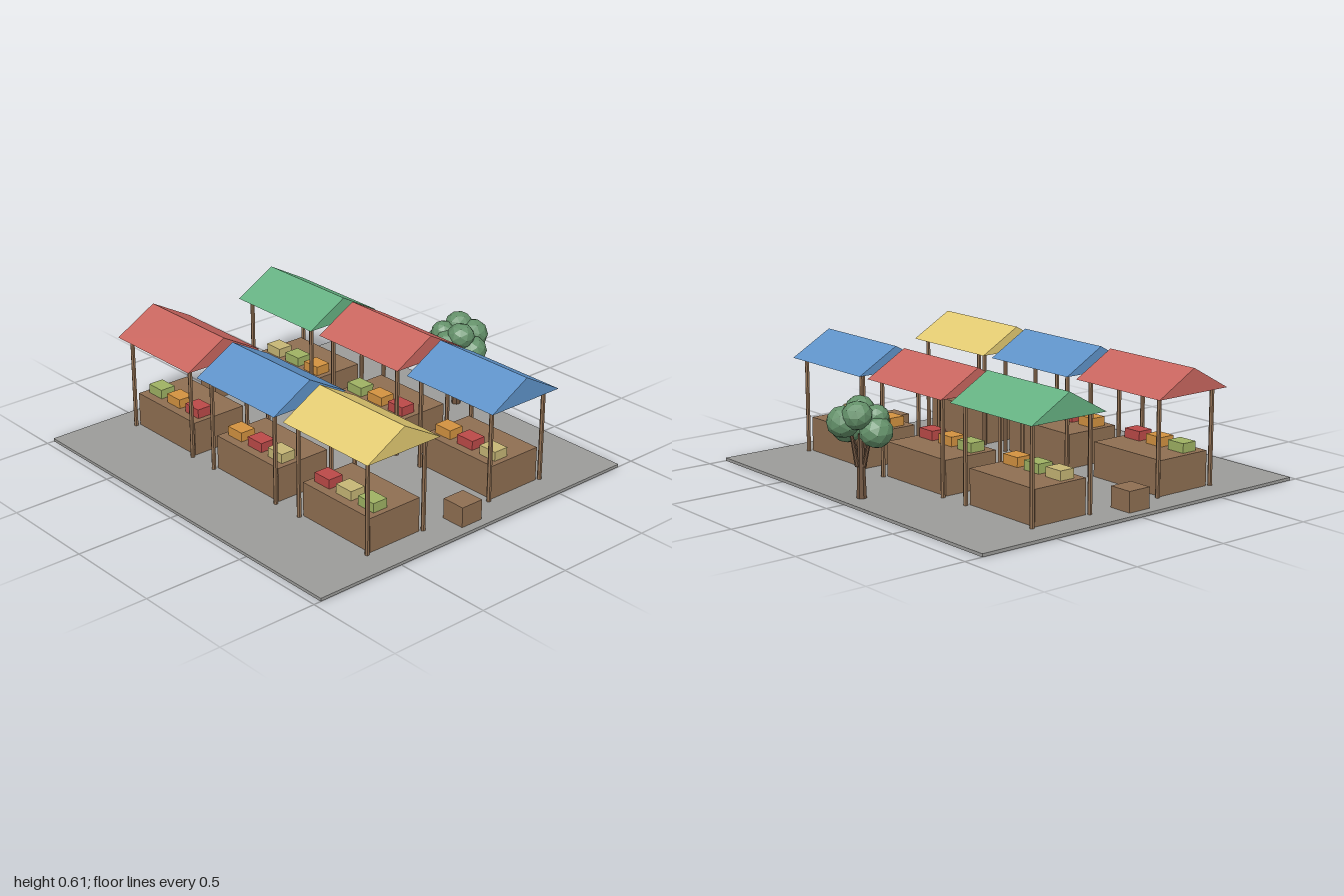
import * as THREE from 'three';

const GROUND = 0.015;
const MID_Z = 0.0275;

const paint = (color) => new THREE.MeshStandardMaterial({ color, flatShading: true });
const wood = paint(0x8f6f52);
const bark = paint(0x705540);
const leaf = paint(0x64916a);
const paving = paint(0x9c9c9a);
const roofPaints = [0xc9665f, 0x5f93c9, 0xe3cb72, 0x66b283].map(paint);
const goodsPaints = [0x9fb263, 0xd39240, 0xbc4a48, 0xc6b675].map(paint);

function add(parent, name, geometry, material, x = 0, y = 0, z = 0) {
  const mesh = new THREE.Mesh(geometry, material);
  mesh.name = name;
  mesh.position.set(x, y, z);
  parent.add(mesh);
  return mesh;
}

// Solid gabled roof, ridge running along x, resting on y = 0
function gableGeometry(length, depth, height) {
  const shape = new THREE.Shape();
  shape.moveTo(-depth / 2, 0);
  shape.lineTo(depth / 2, 0);
  shape.lineTo(0, height);
  shape.closePath();
  const geometry = new THREE.ExtrudeGeometry(shape, { depth: length, bevelEnabled: false });
  return geometry.translate(0, 0, -length / 2).rotateY(Math.PI / 2);
}

const roofGeometry = gableGeometry(0.56, 0.43, 0.12);
const counterGeometry = new THREE.BoxGeometry(0.45, 0.17, 0.295);
const postGeometry = new THREE.CylinderGeometry(0.011, 0.011, 0.475, 6);
const goodsGeometry = new THREE.BoxGeometry(0.1, 0.046, 0.08);

function createStall(index) {
  const stall = new THREE.Group();
  stall.name = 'marketStall';
  add(stall, 'counter', counterGeometry, wood, 0, 0.085, 0);
  for (const x of [-0.23, 0.23]) {
    for (const z of [-0.168, 0.168]) add(stall, 'post', postGeometry, wood, x, 0.2375, z);
  }
  add(stall, 'roof', roofGeometry, roofPaints[index % 4], 0, 0.47, 0);
  // Three trays of produce towards the front of the counter
  for (let i = 0; i < 3; i++) {
    add(stall, 'produceTray', goodsGeometry, goodsPaints[(index + i) % 4], (i - 1) * 0.147, 0.193, 0.063);
  }
  return stall;
}

// Tapered limb between two points
function addLimb(parent, name, from, to, r0, r1) {
  const a = new THREE.Vector3(...from);
  const dir = new THREE.Vector3(...to).sub(a);
  const limb = add(parent, name, new THREE.CylinderGeometry(r1, r0, dir.length(), 7), bark);
  limb.position.copy(a).addScaledVector(dir, 0.5);
  limb.quaternion.setFromUnitVectors(new THREE.Vector3(0, 1, 0), dir.normalize());
}

function createTree() {
  const tree = new THREE.Group();
  tree.name = 'tree';
  tree.position.set(0, GROUND, -0.805);
  addLimb(tree, 'trunk', [0, 0, 0], [0, 0.3, 0], 0.024, 0.013);
  // Leaf clusters: x, y, z, radius
  const clusters = [
    [-0.085, 0.322, 0.025, 0.08],
    [0.087, 0.318, -0.01, 0.078],
    [0.015, 0.345, 0.078, 0.08],
    [0.02, 0.365, -0.08, 0.08],
    [-0.045, 0.402, -0.05, 0.072],
    [0.06, 0.398, 0.04, 0.07],
    [-0.06, 0.385, 0.045, 0.06],
  ];
  clusters.forEach(([x, y, z, r], i) => {
    const blob = add(tree, 'leafCluster', new THREE.IcosahedronGeometry(r, 1), leaf, x, y, z);
    blob.scale.y = 0.94;
    blob.rotation.y = i * 1.3;
    if (i < 4) addLimb(tree, 'branch', [x * 0.15, 0.15, z * 0.25], [x * 0.6, y - 0.03, z * 0.6], 0.011, 0.008);
  });
  return tree;
}

export function createModel() {
  const model = new THREE.Group();
  model.name = 'marketSquare';
  add(model, 'pavedGround', new THREE.BoxGeometry(2, GROUND, 1.87), paving, 0, GROUND / 2, MID_Z);

  // Two rows of three stalls, front row first
  for (let i = 0; i < 6; i++) {
    const stall = createStall(i);
    stall.position.set(((i % 3) - 1) * 0.625, GROUND, MID_Z + (i < 3 ? 0.375 : -0.375));
    model.add(stall);
  }

  // Crates at both ends of the aisle
  const crateGeometry = new THREE.BoxGeometry(0.122, 0.1, 0.122);
  for (const side of [-1, 1]) {
    add(model, 'crate', crateGeometry, wood, side * 0.894, GROUND + 0.05, MID_Z);
  }

  model.add(createTree());
  return model;
}
